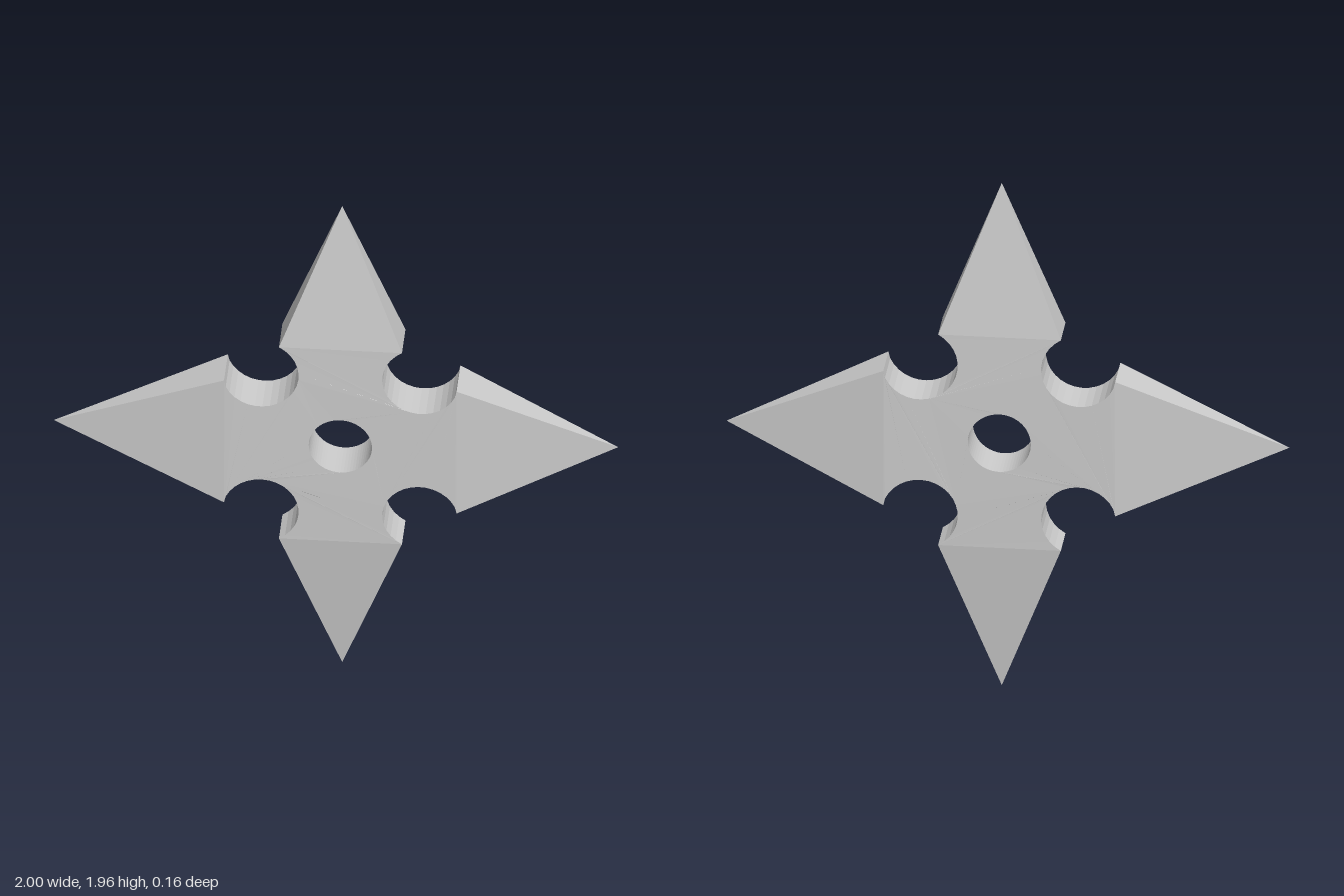
import * as THREE from 'three';

const CX = 0.022, CY = 0.981;            // hub centre
const NOTCH = { x: 0.283, y: 0.292, r: 0.135 };
const HORIZONTAL = { reach: 0.412, half: 0.262 };  // shoulder of the side blades
const VERTICAL = { reach: 0.411, half: 0.218 };    // shoulder of the upright blades

// Half thickness, slightly greater toward the side blades
const halfThickness = (x, y) => 0.078 + 0.035 * (x * x - y * y);

// Notched plate with a round hole, centred on the hub
function bodyGeometry() {
  const a0 = Math.atan2(HORIZONTAL.half - NOTCH.y, HORIZONTAL.reach - NOTCH.x);
  const a1 = Math.atan2(VERTICAL.reach - NOTCH.y, VERTICAL.half - NOTCH.x) - 2 * Math.PI;
  const arc = [];
  for (let i = 0; i <= 20; i++) {
    const a = a0 + (a1 - a0) * i / 20;
    arc.push([NOTCH.x + NOTCH.r * Math.cos(a), NOTCH.y + NOTCH.r * Math.sin(a)]);
  }
  arc[0] = [HORIZONTAL.reach, HORIZONTAL.half];
  arc[20] = [VERTICAL.half, VERTICAL.reach];

  // Mirror the notch into all four corners
  const points = [];
  for (const [sx, sy] of [[1, 1], [-1, 1], [-1, -1], [1, -1]]) {
    const corner = arc.map(([x, y]) => new THREE.Vector2(x * sx, y * sy));
    if (sx * sy < 0) corner.reverse();
    points.push(...corner);
  }
  const shape = new THREE.Shape(points);
  shape.holes.push(new THREE.Path().absarc(0, 0, 0.112, 0, 2 * Math.PI, true));

  const geo = new THREE.ExtrudeGeometry(shape, { depth: 1, bevelEnabled: false, curveSegments: 32 });
  const pos = geo.attributes.position;
  for (let i = 0; i < pos.count; i++) {
    const h = halfThickness(pos.getX(i), pos.getY(i));
    pos.setZ(i, pos.getZ(i) > 0.5 ? h : -h);
  }
  geo.computeVertexNormals();
  return geo;
}

// Four-sided point running from a shoulder to the tip
function bladeGeometry(dx, dy, { reach, half }, length) {
  const place = (along, across, z) => [dx * along - dy * across, dy * along + dx * across, z];
  const h = dx ? halfThickness(reach, half) : halfThickness(half, reach);
  const corners = [[-1, -1], [1, -1], [1, 1], [-1, 1]].map(([p, z]) => place(reach, p * half, z * h));
  const tip = place(length, 0, 0);
  const verts = [];
  for (let i = 0; i < 4; i++) verts.push(...corners[i], ...corners[(i + 1) % 4], ...tip);
  const geo = new THREE.BufferGeometry();
  geo.setAttribute('position', new THREE.Float32BufferAttribute(verts, 3));
  geo.computeVertexNormals();
  return geo;
}

export function createModel() {
  const group = new THREE.Group();
  group.name = 'throwingStar';
  const material = new THREE.MeshStandardMaterial({ color: 0xcccccc, flatShading: true });

  const add = (name, geometry) => {
    const mesh = new THREE.Mesh(geometry, material);
    mesh.name = name;
    mesh.position.set(CX, CY, 0);
    group.add(mesh);
  };

  add('body', bodyGeometry());
  add('leftBlade', bladeGeometry(1, 0, HORIZONTAL, 1 - CX));
  add('rightBlade', bladeGeometry(-1, 0, HORIZONTAL, 1 + CX));
  add('topBlade', bladeGeometry(0, 1, VERTICAL, 0.98));
  add('bottomBlade', bladeGeometry(0, -1, VERTICAL, CY));
  return group;
}
